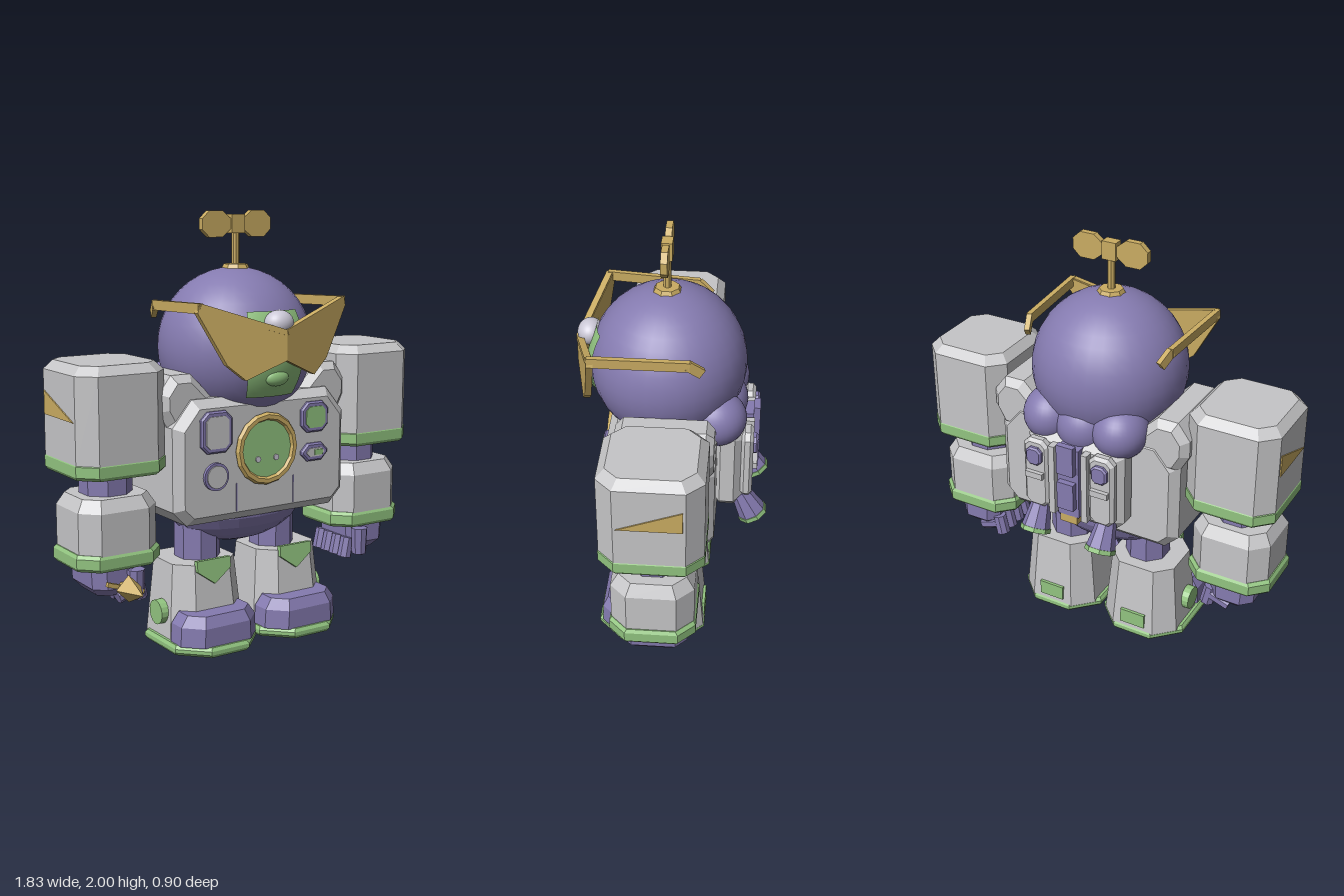
import * as THREE from 'three';

const mat = (name, color) => Object.assign(new THREE.MeshStandardMaterial({ color }), { name });

export function createModel() {
  const purple = mat('purple', 0x857bb0), grey = mat('light grey', 0xc6c6c8);
  const green = mat('green', 0x92c480), gold = mat('gold', 0xcaac62);
  const pale = mat('pale lilac', 0xcbc8d6);
  const root = new THREE.Group();

  const add = (name, geo, material, x = 0, y = 0, z = 0, parent = root) => {
    const m = new THREE.Mesh(geo, material);
    m.name = name;
    m.position.set(x, y, z);
    parent.add(m);
    return m;
  };
  const box = (w, h, d) => new THREE.BoxGeometry(w, h, d);
  const flat = (geo) => {
    const g = geo.index ? geo.toNonIndexed() : geo;
    g.computeVertexNormals();
    return g;
  };
  const prism = (rTop, rBottom, h, sides = 8) =>
    flat(new THREE.CylinderGeometry(rTop, rBottom, h, sides).rotateY(Math.PI / sides));
  const ellipsoid = (rx, ry, rz) => new THREE.SphereGeometry(1, 32, 20).scale(rx, ry, rz);

  // Eight-sided loft; rings are [y, width, depth, corner cut, z offset], bottom to top
  const loft = (rings) => {
    const loops = rings.map(([y, w, d, c, oz = 0]) => {
      const a = w / 2, b = d / 2;
      return [[a, b - c], [a, c - b], [a - c, -b], [c - a, -b], [-a, c - b], [-a, b - c], [c - a, b], [a - c, b]]
        .map(([x, z]) => [x, y, z + oz]);
    });
    const pos = [];
    const tri = (...p) => p.forEach((v) => pos.push(...v));
    const first = loops[0], last = loops[loops.length - 1];
    for (let i = 0; i < 8; i++) {
      const j = (i + 1) % 8;
      for (let k = 0; k + 1 < loops.length; k++) {
        const lo = loops[k], hi = loops[k + 1];
        tri(lo[i], lo[j], hi[j]);
        tri(lo[i], hi[j], hi[i]);
      }
      if (i > 0 && i < 7) {
        tri(last[0], last[i], last[j]);
        tri(first[0], first[j], first[i]);
      }
    }
    const g = new THREE.BufferGeometry();
    g.setAttribute('position', new THREE.Float32BufferAttribute(pos, 3));
    g.computeVertexNormals();
    return g;
  };
  const band = (y0, y1, w, d, c) =>
    loft([[y0, w - 0.02, d - 0.02, c], [y0 + 0.015, w, d, c], [y1 - 0.015, w, d, c], [y1, w - 0.02, d - 0.02, c]]);

  // Outline in x and y, thick in z from z0 to z1, with chamfered edges
  const slab = (pts, z0, z1, bevel = 0) =>
    new THREE.ExtrudeGeometry(new THREE.Shape(pts.map(([x, y]) => new THREE.Vector2(x, y))), {
      depth: z1 - z0 - 2 * bevel, bevelEnabled: bevel > 0, bevelSize: bevel, bevelThickness: bevel,
      bevelOffset: -bevel, bevelSegments: 1,
    }).translate(0, 0, z0 + bevel);
  const mirrored = (pts) => [...pts, ...pts.map(([x, y]) => [-x, y]).reverse()];
  const cutRect = (w, h, c) => mirrored([[w / 2 - c, -h / 2], [w / 2, c - h / 2], [w / 2, h / 2 - c], [w / 2 - c, h / 2]]);
  const disc = (r, h, n = 24) => new THREE.CylinderGeometry(r, r, h, n).rotateX(Math.PI / 2);
  const bar = (name, a, b, w, h, material, parent = root) => {
    const p = new THREE.Vector3(...a), q = new THREE.Vector3(...b);
    const m = add(name, box(w, h, p.distanceTo(q)), material, 0, 0, 0, parent);
    m.position.copy(p).add(q).multiplyScalar(0.5);
    m.lookAt(q);
    return m;
  };

  // Torso and hips
  add('torso', slab(mirrored([[0.4, 0.61], [0.47, 0.68], [0.47, 1.06], [0.37, 1.18]]), -0.21, 0.285, 0.04), grey);
  add('hips', flat(new THREE.SphereGeometry(1, 20, 12).scale(0.36, 0.2, 0.22)), purple, 0, 0.65, 0.03);

  // Chest controls
  const control = (name, x, y, w, h, inner) => {
    add(name + 'Frame', slab(cutRect(w, h, 0.035), 0.28, 0.305, 0.008), purple, x, y);
    add(name, slab(cutRect(w - 0.045, h - 0.045, 0.02), 0.3, 0.31), inner, x, y);
  };
  control('tallPanel', -0.272, 1.033, 0.165, 0.19, grey);
  control('greenScreen', 0.27, 1.052, 0.155, 0.145, green);
  control('smallDisplay', 0.27, 0.885, 0.15, 0.085, grey);
  add('displayLight', box(0.045, 0.025, 0.008), green, 0.285, 0.885, 0.311);
  add('dialRim', disc(0.064, 0.03), purple, -0.272, 0.83, 0.285);
  add('dial', disc(0.052, 0.008), grey, -0.272, 0.83, 0.302);
  add('portholeRing', flat(new THREE.TorusGeometry(0.15, 0.019, 6, 16)), gold, 0, 0.93, 0.295);
  add('porthole', disc(0.143, 0.02), green, 0, 0.93, 0.288);
  for (const s of [-1, 1]) {
    add('portholeDot', disc(0.014, 0.008, 12), pale, s * 0.05, 0.885, 0.3);
    add('chestSeam', box(0.004, 0.13, 0.004), purple, s * 0.158, 0.72, 0.286);
  }

  // Head, face and eye
  add('helmet', ellipsoid(0.365, 0.365, 0.36), purple, 0, 1.38, 0.03);
  add('facePatch', new THREE.SphereGeometry(0.37, 16, 16, Math.PI / 2 - 0.42, 0.84, 1.055, 1.1), green, 0, 1.38, 0.03);
  add('chin', ellipsoid(0.18, 0.155, 0.165), green, 0, 1.3, 0.225);
  add('mouth', ellipsoid(0.062, 0.038, 0.03), green, 0, 1.265, 0.37);
  add('eye', ellipsoid(0.07, 0.06, 0.06), pale, 0, 1.51, 0.385);

  // Pointed glasses
  for (const s of [-1, 1]) {
    const pts = [[0, 1.35], [0.185, 1.27], [0.27, 1.34], [0.4, 1.57], [0.39, 1.61], [0, 1.48]];
    const lens = slab(pts.map(([x, y]) => [s * x, y]), 0, 0.03);
    const p = lens.attributes.position;
    for (let i = 0; i < p.count; i++) p.setZ(i, p.getZ(i) + 0.42 - 0.25 * Math.abs(p.getX(i)));
    lens.computeVertexNormals();
    add('lens', lens, gold);
    bar('browRim', [0, 1.475, 0.437], [s * 0.385, 1.6, 0.342], 0.03, 0.025, gold);
    bar('temple', [s * 0.385, 1.59, 0.35], [s * 0.362, 1.575, -0.09], 0.025, 0.045, gold);
    bar('templeTip', [s * 0.362, 1.58, -0.08], [s * 0.34, 1.53, -0.14], 0.025, 0.045, gold);
  }

  // Propeller
  const propeller = new THREE.Group();
  propeller.name = 'propeller';
  propeller.position.z = 0.035;
  root.add(propeller);
  add('propellerBase', prism(0.055, 0.068, 0.025), gold, 0, 1.745, 0, propeller);
  add('propellerRod', prism(0.018, 0.018, 0.19), gold, 0, 1.83, 0, propeller);
  add('propellerHub', box(0.07, 0.085, 0.05), gold, 0, 1.94, 0, propeller);
  const blade = [[0.03, -0.02], [0.08, -0.06], [0.15, -0.06], [0.187, -0.025], [0.187, 0.025], [0.15, 0.06], [0.08, 0.06], [0.03, 0.02]];
  for (const s of [-1, 1]) add('blade', slab(blade.map(([x, y]) => [s * x, y]), -0.015, 0.015), gold, 0, 1.94, 0, propeller);

  // Shoulders, arms, hands and legs on both sides
  for (const s of [-1, 1]) {
    const shoulder = [[0.28, 1.02], [0.46, 1.04], [0.51, 1.13], [0.51, 1.21], [0.45, 1.29], [0.35, 1.29], [0.24, 1.18]];
    add('shoulder', slab(shoulder.map(([x, y]) => [s * x, y]), -0.205, 0.235, 0.035), grey);

    const arm = new THREE.Group();
    arm.name = s > 0 ? 'leftArm' : 'rightArm';
    arm.position.set(s * 0.694, 0, 0.036);
    root.add(arm);
    add('upperArm', loft([[0.93, 0.435, 0.455, 0.075], [1.32, 0.435, 0.455, 0.075], [1.36, 0.36, 0.38, 0.06]]), grey, 0, 0, 0, arm);
    add('upperArmBand', band(0.87, 0.947, 0.44, 0.46, 0.075), green, 0, 0, 0, arm);
    add('elbow', prism(0.12, 0.12, 0.14), purple, 0, 0.82, 0, arm);
    add('forearm', loft([[0.52, 0.385, 0.37, 0.075], [0.715, 0.385, 0.37, 0.075], [0.77, 0.32, 0.3, 0.06]]), grey, 0, 0, 0, arm);
    add('forearmBand', band(0.455, 0.53, 0.415, 0.385, 0.075), green, 0, 0, 0, arm);
    add('palm', loft([[0.32, 0.15, 0.22, 0.04], [0.36, 0.22, 0.3, 0.05], [0.46, 0.23, 0.3, 0.05]]), purple, s * 0.015, 0, 0, arm);
    for (let i = 0; i < 4; i++) {
      const z = -0.1 + i * 0.068;
      add('fingerBase', prism(0.036, 0.034, 0.1), purple, -s * 0.04, 0.325, z, arm).rotation.z = s * 1.2;
      add('fingerTip', prism(0.034, 0.036, 0.1), purple, -s * 0.1, 0.335, z, arm).rotation.z = -s * 0.2;
    }
    add('thumb', prism(0.042, 0.036, 0.13), purple, -s * 0.06, 0.375, 0.16, arm);

    // Painted triangle on the outer face
    const tri = slab([[0.14, 1.12], [-0.14, 1.12], [-0.14, 1.225]], -0.003, 0.003);
    add('armTriangle', tri, gold, s * 0.22, 0, 0, arm).rotation.y = -Math.PI / 2;

    const leg = new THREE.Group();
    leg.name = s > 0 ? 'leftLeg' : 'rightLeg';
    leg.position.set(s * 0.232, 0, 0);
    root.add(leg);
    add('thigh', prism(0.11, 0.11, 0.24), purple, -s * 0.02, 0.5, 0.03, leg);
    add('boot', loft([[0.04, 0.4, 0.4, 0.09, 0.035], [0.4, 0.335, 0.325, 0.075, 0.03]]), grey, 0, 0, 0, leg);
    add('sole', band(0.005, 0.052, 0.445, 0.52, 0.12), green, 0, 0, 0.09, leg);
    add('toeCap', loft([[0.05, 0.41, 0.25, 0.08, 0.205], [0.14, 0.4, 0.25, 0.08, 0.205], [0.19, 0.33, 0.2, 0.06, 0.205]]), purple, 0, 0, 0, leg);
    const knee = slab(mirrored([[0, 0.305], [0.09, 0.37], [0.09, 0.42]]).slice(1), 0, 0.025);
    add('kneeGuard', knee.translate(0, -0.36, 0), green, 0, 0.36, 0.19, leg).rotation.x = -0.11;
    add('ankleDisc', prism(0.058, 0.058, 0.04, 16), green, s * 0.203, 0.165, 0.055, leg).rotation.z = Math.PI / 2;
    add('heelBlock', box(0.13, 0.075, 0.04), green, 0, 0.105, -0.15, leg);
  }

  // Arrow held in the right hand
  add('arrowShaft', prism(0.014, 0.014, 0.3).rotateX(Math.PI / 2), gold, -0.7, 0.375, 0.15);
  add('arrowHead', flat(new THREE.ConeGeometry(0.062, 0.13, 4).rotateX(Math.PI / 2)), gold, -0.7, 0.375, 0.315);
  bar('arrowGuard', [-0.79, 0.4, 0.22], [-0.61, 0.34, 0.22], 0.02, 0.02, gold);

  // Padded collar behind the head
  for (const [x, y, r] of [[-0.18, 1.19, 0.13], [0, 1.18, 0.14], [0.18, 1.19, 0.13]])
    add('collar', ellipsoid(r, r, 0.14), purple, x, y, -0.2);

  // Backpack
  add('backpack', slab(mirrored([[0.2, 0.71], [0.25, 0.76], [0.25, 1.11], [0.2, 1.16]]), -0.335, -0.18, 0.045), grey);
  add('packSpine', box(0.11, 0.36, 0.05), purple, 0, 0.95, -0.345);
  add('packSpineCap', box(0.085, 0.15, 0.03), purple, 0, 1.08, -0.385);
  add('packSpinePlate', box(0.085, 0.14, 0.03), purple, 0, 0.89, -0.385);
  add('packLatch', box(0.09, 0.05, 0.05), gold, 0, 0.755, -0.345);
  for (const s of [-1, 1]) {
    add('packRail', box(0.03, 0.36, 0.05), grey, s * 0.085, 0.94, -0.35);
    add('packPillar', slab(cutRect(0.13, 0.36, 0.03), -0.375, -0.32, 0.015), grey, s * 0.17, 0.95);
    add('packButton', slab(cutRect(0.08, 0.09, 0.02), -0.395, -0.365, 0.008), purple, s * 0.17, 1.05);
    add('packClip', box(0.09, 0.03, 0.03), grey, s * 0.17, 0.95, -0.38);
    const thruster = new THREE.Group();
    thruster.name = 'thruster';
    thruster.position.set(s * 0.175, 0.71, -0.35);
    thruster.rotation.x = 0.48;
    root.add(thruster);
    add('thrusterBody', prism(0.045, 0.07, 0.14), purple, 0, 0, 0, thruster);
    add('thrusterRim', prism(0.073, 0.073, 0.022), green, 0, -0.072, 0, thruster);
  }
  return root;
}
